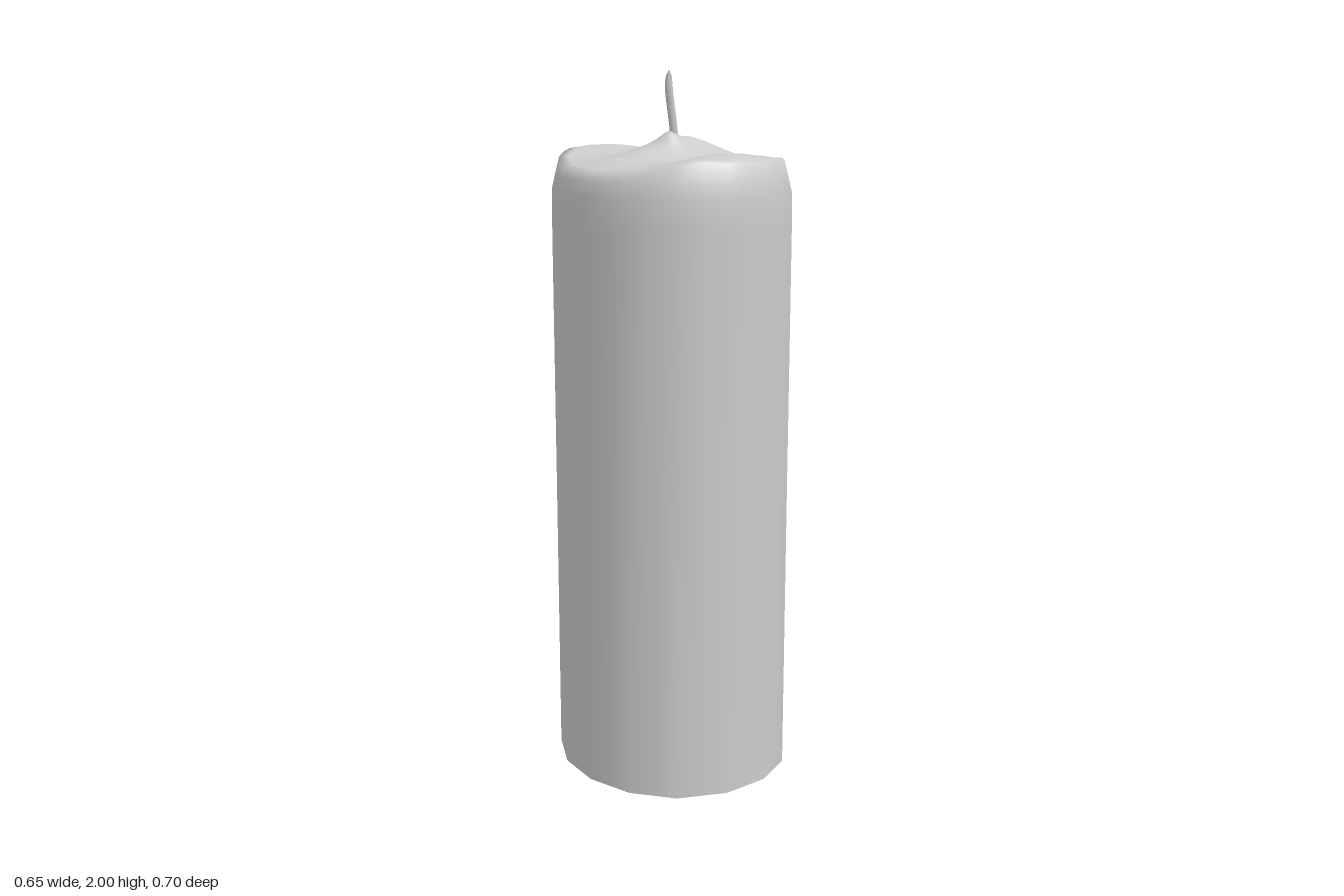
import * as THREE from 'three';

// Slightly irregular 15-sided outline of the candle as [x, z]
const OUTLINE = [
  [0.01, -0.355], [0.14, -0.328], [0.262, -0.22], [0.325, -0.08], [0.327, 0.06],
  [0.275, 0.185], [0.155, 0.313], [0.033, 0.35], [-0.103, 0.332], [-0.228, 0.255],
  [-0.302, 0.138], [-0.327, 0], [-0.302, -0.135], [-0.228, -0.25], [-0.117, -0.33],
];
const SPLIT = 2; // points per outline edge

const bump = (d, width) => Math.exp(-((d / width) ** 2));

// Melted top: a ridge runs across in x, with dips before and behind it and raised rims
function meltHeight(x, z) {
  const ridge = 0.062 * bump(x - 0.07, x > 0.07 ? 0.14 : 0.2) * bump(z + 0.03, 0.085);
  const cone = 0.03 * bump(Math.hypot(x, z), 0.035);
  const frontRim = 0.032 * bump(x + 0.03, 0.2) * bump(z - 0.23, 0.08);
  const backRim = 0.032 * bump(x + 0.02, 0.2) * bump(z + 0.27, 0.1);
  const edge = -0.016 * Math.max(0, Math.abs(x) - 0.2) / 0.1;
  return 1.757 + ridge + cone + frontRim + backRim + edge;
}

function createWax(material) {
  const loop = [];
  OUTLINE.forEach((p, i) => {
    const q = OUTLINE[(i + 1) % OUTLINE.length];
    for (let k = 0; k < SPLIT; k++) {
      const t = k / SPLIT;
      loop.push([p[0] + (q[0] - p[0]) * t, p[1] + (q[1] - p[1]) * t]);
    }
  });
  const n = loop.length;

  // Rings [scale, height]; a null height follows the melted surface
  const rings = [
    [1, 0], [0.993, 0.8], [0.988, 1.6], [0.984, 1.68], [0.955, 1.72], [0.92, null],
    [0.85, null], [0.76, null], [0.66, null], [0.56, null], [0.46, null], [0.36, null],
    [0.27, null], [0.19, null], [0.12, null], [0.07, null], [0.03, null],
  ];
  const positions = [];
  const index = [];
  for (const [scale, height] of rings) {
    for (const [ox, oz] of loop) {
      const x = ox * scale;
      const z = oz * scale;
      positions.push(x, height ?? meltHeight(x, z), z);
    }
  }
  for (let i = 0; i < rings.length - 1; i++) {
    for (let j = 0; j < n; j++) {
      const a = i * n + j;
      const b = i * n + (j + 1) % n;
      index.push(a, a + n, b, b, a + n, b + n);
    }
  }
  // Close the centre
  const last = (rings.length - 1) * n;
  const centre = rings.length * n;
  positions.push(0, meltHeight(0, 0), 0);
  for (let j = 0; j < n; j++) index.push(last + j, centre, last + (j + 1) % n);

  const geometry = new THREE.BufferGeometry();
  geometry.setAttribute('position', new THREE.Float32BufferAttribute(positions, 3));
  geometry.setIndex(index);
  geometry.computeVertexNormals();
  const wax = new THREE.Mesh(geometry, material);
  wax.name = 'waxBody';
  return wax;
}

function createBase(material) {
  const shape = new THREE.Shape(OUTLINE.map(([x, z]) => new THREE.Vector2(x, z)));
  const base = new THREE.Mesh(new THREE.ShapeGeometry(shape).rotateX(Math.PI / 2), material);
  base.name = 'flatBase';
  return base;
}

// Thin bent wick, narrowing to a rounded tip
function createWick(material) {
  const curve = new THREE.CatmullRomCurve3([
    new THREE.Vector3(0.014, 1.78, 0),
    new THREE.Vector3(0.008, 1.84, 0),
    new THREE.Vector3(-0.004, 1.91, 0),
    new THREE.Vector3(-0.012, 1.96, 0.001),
    new THREE.Vector3(-0.011, 2, 0.002),
  ]);
  const steps = 14;
  const sides = 8;
  const geometry = new THREE.TubeGeometry(curve, steps, 0.011, sides);
  const pos = geometry.attributes.position;
  const v = new THREE.Vector3();
  for (let i = 0; i <= steps; i++) {
    const t = i / steps;
    const centre = curve.getPointAt(t);
    const taper = Math.sqrt(Math.max(0, 1 - Math.max(0, (t - 0.75) / 0.25) ** 2));
    for (let j = 0; j <= sides; j++) {
      const k = i * (sides + 1) + j;
      v.fromBufferAttribute(pos, k).sub(centre).multiplyScalar(taper).add(centre);
      pos.setXYZ(k, v.x, v.y, v.z);
    }
  }
  const wick = new THREE.Mesh(geometry, material);
  wick.name = 'wick';
  return wick;
}

export function createModel() {
  const material = new THREE.MeshStandardMaterial({ color: 0xcccccc });
  const candle = new THREE.Group();
  candle.name = 'candle';
  candle.add(createWax(material), createBase(material), createWick(material));
  return candle;
}
